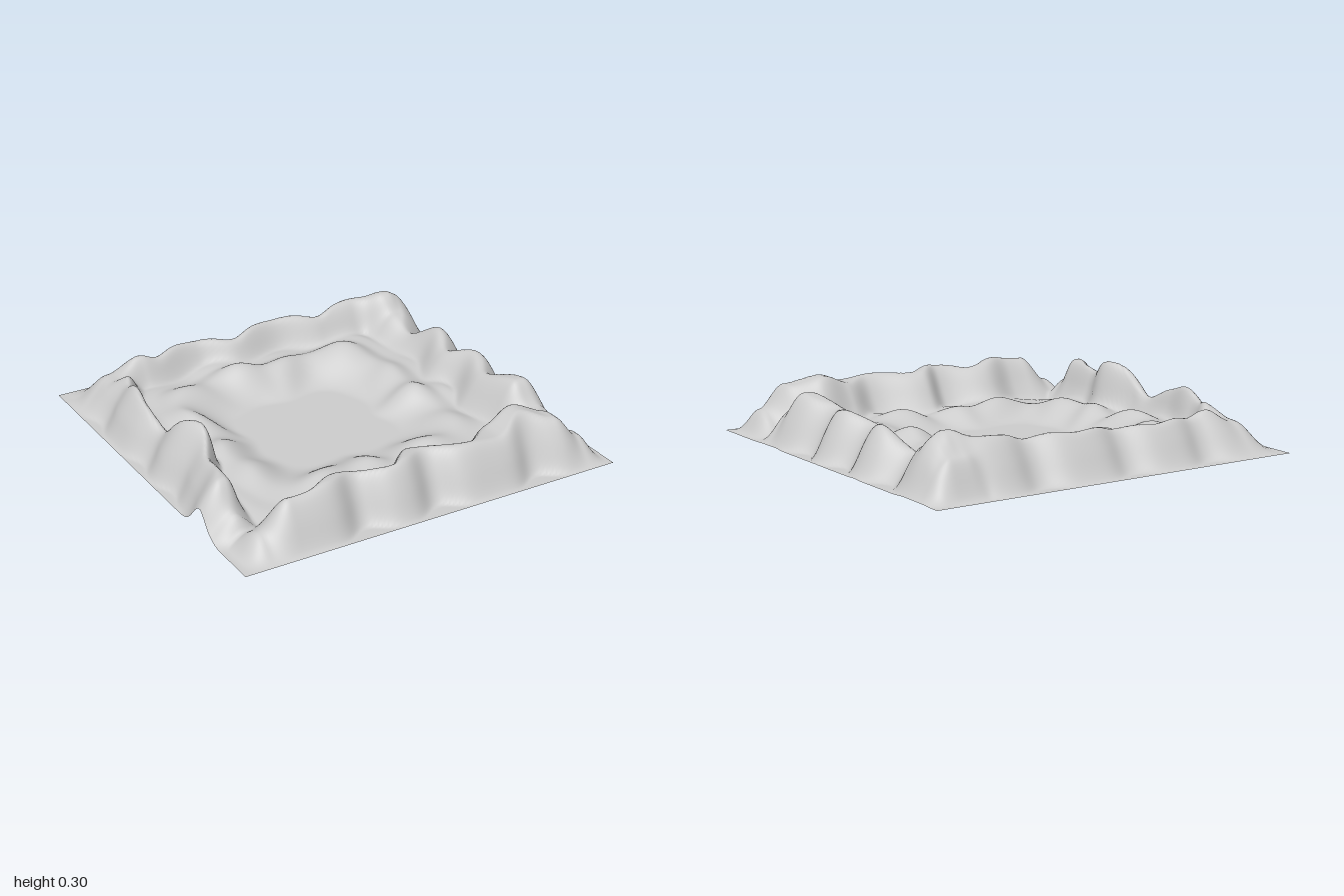
import * as THREE from 'three';

const smooth = (a, b, v) => THREE.MathUtils.smoothstep(v, a, b);

// Smooth interpolation through [position, value] pairs
function along(table, t) {
  if (t <= table[0][0]) return table[0][1];
  for (let i = 1; i < table.length; i++) {
    const [t1, v1] = table[i], [t0, v0] = table[i - 1];
    if (t <= t1) return v0 + (v1 - v0) * smooth(t0, t1, t);
  }
  return table[table.length - 1][1];
}

// One ridge per side. t runs along the side, d inwards from its edge.
// crest: height along t; wallEnd: where the inner wall meets the trough
const ridges = {
  front: {
    coords: (x, z) => [x, 1 - z],
    crest: [[-0.98, 0], [-0.85, 0.1], [-0.7, 0.23], [-0.5, 0.25], [-0.35, 0.235], [-0.1, 0.25],
      [0.05, 0.235], [0.25, 0.24], [0.42, 0.225], [0.6, 0.28], [0.75, 0.24], [0.88, 0.12], [0.99, 0]],
    wallEnd: [[-0.8, 0.36], [-0.6, 0.34], [-0.4, 0.42], [-0.15, 0.34], [0, 0.45], [0.28, 0.36],
      [0.46, 0.47], [0.62, 0.5], [0.85, 0.39]],
    gullies: [-0.34, 0.05, 0.6], gullyDepth: 0.08, foot: 0, top: 0.15, wallWidth: 0.21, lean: 0.06,
  },
  back: {
    coords: (x, z) => [x, 1 + z],
    crest: [[-0.98, 0], [-0.8, 0.14], [-0.6, 0.24], [-0.32, 0.24], [-0.1, 0.225], [0.15, 0.245],
      [0.4, 0.23], [0.62, 0.245], [0.8, 0.24], [0.9, 0.13], [0.99, 0]],
    wallEnd: [[-0.8, 0.42], [-0.62, 0.36], [-0.3, 0.3], [-0.1, 0.36], [0.15, 0.31], [0.4, 0.37],
      [0.6, 0.37], [0.8, 0.46]],
    gullies: [-0.55, -0.1, 0.4, 0.8], gullyDepth: 0.06, foot: 0, top: 0.19, wallWidth: 0.18, lean: 0.06,
  },
  sunnySide: {
    coords: (x, z) => [z, 1 - x],
    crest: [[-0.98, 0], [-0.86, 0.18], [-0.73, 0.24], [-0.62, 0.19], [-0.48, 0.14], [-0.28, 0.23],
      [-0.12, 0.195], [0.05, 0.24], [0.22, 0.215], [0.46, 0.26], [0.57, 0.16], [0.68, 0.02], [0.76, 0]],
    wallEnd: [[-0.75, 0.44], [-0.5, 0.41], [-0.3, 0.36], [-0.1, 0.43], [0.05, 0.37], [0.25, 0.44], [0.5, 0.4]],
    gullies: [-0.5, -0.1, 0.25], gullyDepth: 0.08, foot: -0.01, top: 0.15, wallWidth: 0.21, lean: 0.05,
  },
  shadySide: {
    coords: (x, z) => [z, 1 + x],
    crest: [[-0.96, 0], [-0.78, 0.12], [-0.6, 0.22], [-0.4, 0.265], [-0.15, 0.225], [0.14, 0.305],
      [0.32, 0.24], [0.56, 0.245], [0.68, 0.12], [0.79, 0]],
    wallEnd: [[-0.75, 0.41], [-0.5, 0.31], [-0.3, 0.28], [-0.05, 0.29], [0.16, 0.36], [0.36, 0.29], [0.65, 0.27]],
    gullies: [-0.6, -0.12, 0.2], gullyDepth: 0.05, foot: 0, top: 0.17, wallWidth: 0.16, lean: 0.15,
    // The front end spreads out to the edge
    spread: 0.08,
  },
};

// Height of one ridge: scalloped outer slope, crest, inner wall
function ridgeHeight(r, x, z) {
  const [t, d] = r.coords(x, z);
  let shift = -(r.spread ?? 0) * Math.exp(-(((t - 0.58) / 0.12) ** 2));
  for (const g of r.gullies) shift += r.gullyDepth * Math.exp(-(((t - g) / 0.1) ** 2));
  const outer = Math.pow(smooth(r.foot + shift, r.top + shift, d), 0.85);
  const end = along(r.wallEnd, t);
  return along(r.crest, t) * outer * (1 - smooth(end - r.wallWidth, end, d));
}

// Lumpy shelf between the trough below the walls and the flat floor
function shelfHeight(x, z) {
  const u = (x + 0.05) / 0.55, v = (z + 0.03) / 0.53;
  const a = Math.atan2(v, u);
  const r = Math.pow(u ** 6 + v ** 6, 1 / 6) + 0.025 * Math.sin(8 * a + 0.8);
  const height = 0.1 - 0.025 * Math.sin(a) + 0.015 * Math.sin(7 * a + 1) + 0.015 * Math.sin(13 * a);
  const trough = 0.35 * smooth(1.02, 1.24, r);
  return height * (smooth(0.6, 1.02, r) - trough) * (1 - smooth(1.3, 1.65, r));
}

export function createModel() {
  const group = new THREE.Group();
  group.name = 'terrain';

  const geometry = new THREE.PlaneGeometry(2, 2, 160, 160).rotateX(-Math.PI / 2);
  const p = geometry.attributes.position;
  const list = Object.values(ridges);
  for (let i = 0; i < p.count; i++) {
    const x = p.getX(i), z = p.getZ(i);
    const heights = list.map((r) => ridgeHeight(r, x, z));
    // Smooth maximum joins the ridges and the shelf
    const y = Math.pow([...heights, shelfHeight(x, z)].reduce((s, h) => s + h ** 5, 0), 1 / 5);
    // Crests lean inwards over the basin
    const [f, b, s, l] = heights.map((h, k) => list[k].lean * Math.max(0, h - 0.12));
    p.setXYZ(i, x + l - s, y, z + b - f);
  }
  geometry.computeVertexNormals();

  const ground = new THREE.Mesh(
    geometry,
    new THREE.MeshStandardMaterial({ color: 0xcccccc, side: THREE.DoubleSide })
  );
  ground.name = 'ridgedGround';
  group.add(ground);
  return group;
}
